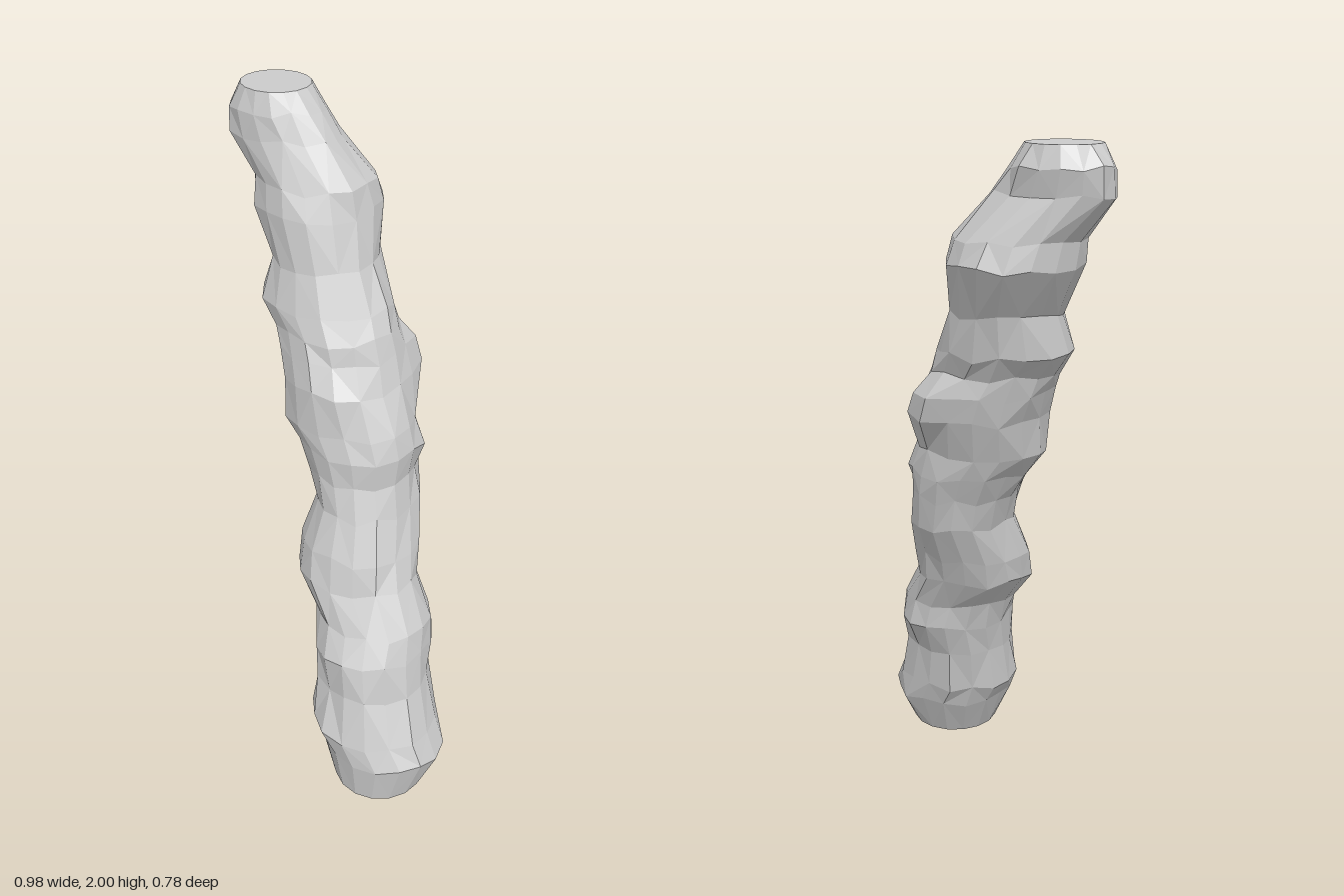
import * as THREE from 'three';

const SIDES = 16;

// Outline of the log at each height: y, left x, right x, back z, front z
const RINGS = [
  [0.00, 0.16, 0.44, 0.10, 0.38],
  [0.13, 0.10, 0.49, 0.04, 0.39],
  [0.20, 0.06, 0.45, 0.02, 0.39],
  [0.34, 0.06, 0.40, 0.00, 0.34],
  [0.45, 0.05, 0.38, -0.05, 0.33],
  [0.53, 0.02, 0.37, -0.05, 0.28],
  [0.64, -0.07, 0.30, -0.09, 0.24],
  [0.73, -0.08, 0.28, -0.12, 0.21],
  [0.85, -0.06, 0.24, -0.18, 0.16],
  [0.95, -0.09, 0.22, -0.20, 0.14],
  [1.03, -0.14, 0.23, -0.22, 0.14],
  [1.10, -0.20, 0.21, -0.22, 0.13],
  [1.22, -0.21, 0.16, -0.26, 0.12],
  [1.30, -0.24, 0.13, -0.27, 0.09],
  [1.36, -0.27, 0.11, -0.26, 0.07],
  [1.42, -0.33, 0.08, -0.29, 0.05],
  [1.54, -0.31, 0.01, -0.31, 0.01],
  [1.68, -0.39, -0.02, -0.39, -0.01],
  [1.75, -0.40, -0.04, -0.36, -0.03],
  [1.87, -0.49, -0.13, -0.30, -0.06],
  [1.94, -0.49, -0.19, -0.31, -0.07],
  [2.00, -0.45, -0.24, -0.29, -0.09],
];

// Small repeatable random generator for the rough bark
function seeded(seed) {
  return () => (seed = (seed * 16807) % 2147483647) / 2147483647;
}

// Broken-off branch stub on the back, turned towards +x
function knob(angle, y) {
  const da = (angle - Math.PI * 1.68) / 0.38;
  const dy = (y - 1.26) / 0.07;
  return 0.065 * Math.exp(-da * da - dy * dy);
}

function logGeometry() {
  const rand = seeded(71);
  const pos = [], index = [];
  const last = RINGS.length - 1;

  // Rings of bark points, roughened between the four outline points
  RINGS.forEach(([y, x0, x1, z0, z1], r) => {
    const cx = (x0 + x1) / 2, cz = (z0 + z1) / 2;
    const inner = r > 0 && r < last;
    for (let i = 0; i < SIDES; i++) {
      const a = (i / SIDES) * Math.PI * 2;
      const rough = inner && i % 4 ? 1.01 + (rand() - 0.5) * 0.09 : 1;
      const lift = inner ? (rand() - 0.5) * 0.025 : 0;
      const bump = knob(a, y);
      pos.push(
        cx + Math.cos(a) * ((x1 - x0) / 2 * rough + bump),
        y + lift,
        cz + Math.sin(a) * ((z1 - z0) / 2 * rough + bump)
      );
    }
  });

  // Bark faces, with alternating diagonals
  for (let r = 0; r < last; r++) {
    for (let i = 0; i < SIDES; i++) {
      const n = (i + 1) % SIDES;
      const a = r * SIDES + i, c = r * SIDES + n;
      const b = a + SIDES, d = c + SIDES;
      if ((i + r) % 2) index.push(a, b, c, b, d, c);
      else index.push(a, b, d, a, d, c);
    }
  }

  // Flat cut ends
  for (let i = 1; i < SIDES - 1; i++) {
    const t = last * SIDES;
    index.push(0, i, i + 1, t, t + i + 1, t + i);
  }

  const indexed = new THREE.BufferGeometry();
  indexed.setAttribute('position', new THREE.Float32BufferAttribute(pos, 3));
  indexed.setIndex(index);
  const geometry = indexed.toNonIndexed();
  geometry.computeVertexNormals();
  return geometry;
}

export function createModel() {
  const group = new THREE.Group();
  group.name = 'leaningLog';
  const material = new THREE.MeshStandardMaterial({ color: 0xcccccc, flatShading: true });
  const trunk = new THREE.Mesh(logGeometry(), material);
  trunk.name = 'trunk';
  group.add(trunk);
  return group;
}
